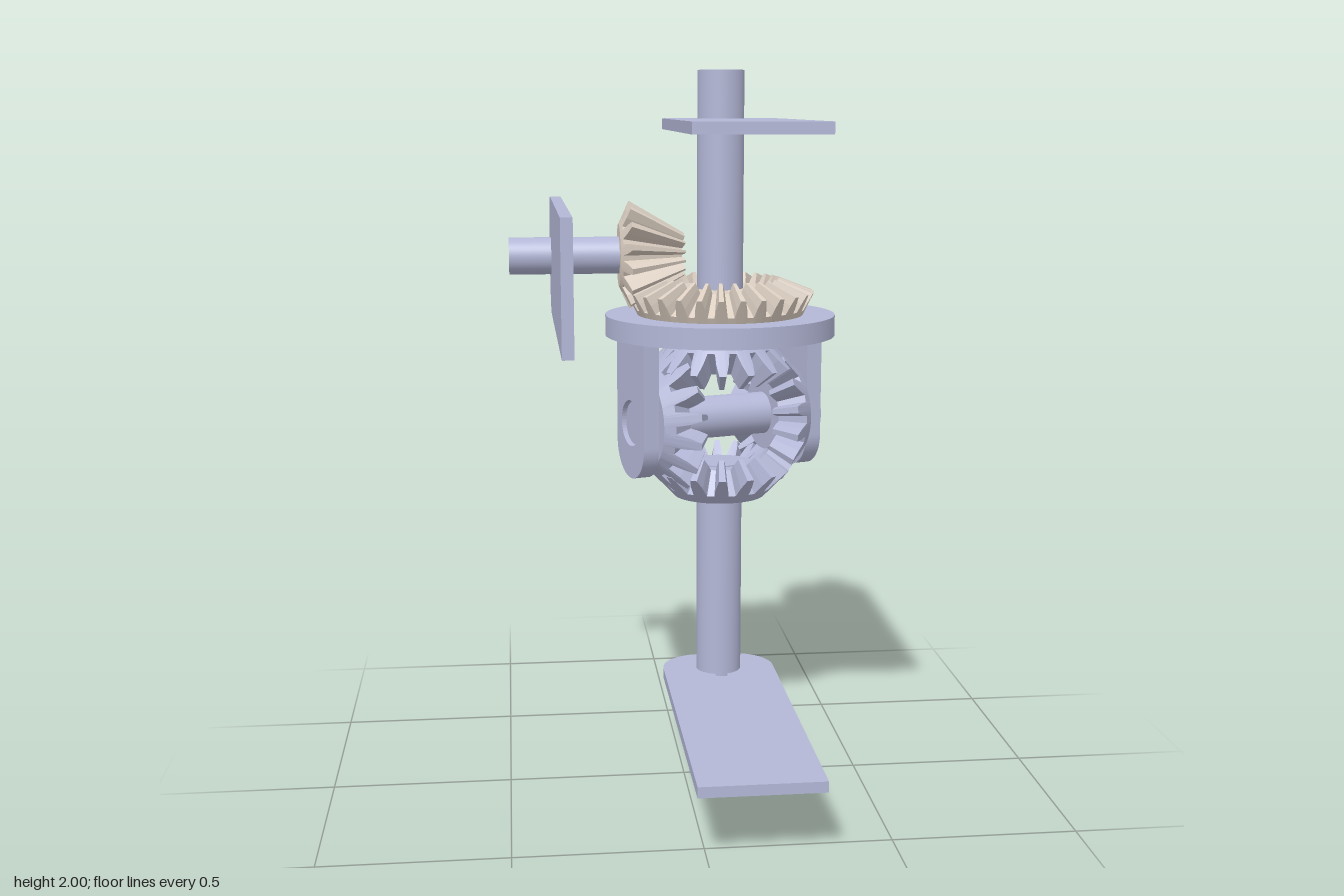
import * as THREE from 'three';

const steel = new THREE.MeshStandardMaterial({ color: 0xb3b7d6 });
const steelFlat = new THREE.MeshStandardMaterial({ color: 0xb3b7d6, flatShading: true });
const beige = new THREE.MeshStandardMaterial({ color: 0xdccfc2, flatShading: true });

const AX = 0.135, AZ = -0.28; // main axis
const CENTRE = 1.0;           // height of the differential centre
const APEX = 1.478;           // height of the input shaft

function add(parent, name, geometry, material, x = 0, y = 0, z = 0) {
  const mesh = new THREE.Mesh(geometry, material);
  mesh.name = name;
  mesh.position.set(x, y, z);
  parent.add(mesh);
  return mesh;
}

// Upright cylinder spanning a..b along y
function rod(r, a, b, segments = 48) {
  return new THREE.CylinderGeometry(r, r, b - a, segments).translate(0, (a + b) / 2, 0);
}

// Bevel gear about y with its cone apex at the origin, lying below it.
// hub, root and tip are [radius, y] on the back cone; inner scales the small end.
function bevelGear(teeth, hub, root, tip, inner) {
  const mix = t => [root[0] + (tip[0] - root[0]) * t, root[1] + (tip[1] - root[1]) * t];
  const profile = [[-0.33, 0], [-0.24, 0.5], [-0.12, 1], [0.12, 1], [0.24, 0.5], [0.33, 0]];
  const outline = [];
  for (let i = 0; i < teeth; i++) {
    for (const [a, t] of profile) {
      const [r, y] = mix(t), phi = (i + a) / teeth * Math.PI * 2;
      outline.push({ r, y, phi });
    }
  }
  const flatRing = (r, y) => outline.map(p => ({ r, y, phi: p.phi }));
  const rings = [
    flatRing(0, hub[1]), flatRing(...hub), outline,
    outline.map(p => ({ r: p.r * inner, y: p.y * inner, phi: p.phi })),
    flatRing(root[0] * inner, root[1] * inner), flatRing(0, root[1] * inner),
  ];
  const n = outline.length, positions = [], index = [];
  for (const ring of rings) {
    for (const p of ring) positions.push(p.r * Math.cos(p.phi), p.y, p.r * Math.sin(p.phi));
  }
  for (let j = 0; j < rings.length - 1; j++) {
    for (let i = 0; i < n; i++) {
      const k = (i + 1) % n, a = j * n + i, b = a + n, c = (j + 1) * n + k, d = j * n + k;
      if (j < rings.length - 2) index.push(a, b, c);
      else index.push(a, b, d);
      if (j > 0 && j < rings.length - 2) index.push(a, c, d);
    }
  }
  const g = new THREE.BufferGeometry();
  g.setAttribute('position', new THREE.Float32BufferAttribute(positions, 3));
  g.setIndex(index);
  const flat = g.toNonIndexed();
  flat.computeVertexNormals();
  return flat;
}

// Flat lever with one rounded end and a keyed hole, lying in xz
function leverPlate(holeR) {
  const w = 0.168, back = -0.12, front = 0.89, c = 0.12, k = 0.0175;
  const s = new THREE.Shape();
  s.moveTo(-w, front);
  s.lineTo(-w, back + c);
  s.absarc(-w + c, back + c, c, Math.PI, Math.PI * 1.5, false);
  s.absarc(w - c, back + c, c, -Math.PI / 2, 0, false);
  s.lineTo(w, front);
  s.closePath();
  const hole = new THREE.Path();
  const a = Math.asin(k / holeR);
  hole.moveTo(-k, holeR + 0.018);
  hole.lineTo(k, holeR + 0.018);
  hole.absarc(0, 0, holeR, Math.PI / 2 - a, Math.PI / 2 + a, true);
  hole.closePath();
  s.holes.push(hole);
  return new THREE.ExtrudeGeometry(s, { depth: 0.03, bevelEnabled: false, curveSegments: 24 })
    .rotateX(Math.PI / 2).translate(0, 0.015, 0);
}

// Hanging arm with a round lower end and a bore, thickness along x
function carrierArm() {
  const w = 0.102, top = 0.25, low = -0.06;
  const s = new THREE.Shape();
  s.moveTo(w, top);
  s.lineTo(-w, top);
  s.lineTo(-w, low);
  s.absarc(0, low, w, Math.PI, Math.PI * 2, false);
  s.closePath();
  const hole = new THREE.Path();
  hole.absarc(0, 0, 0.067, 0, Math.PI * 2, true);
  s.holes.push(hole);
  return new THREE.ExtrudeGeometry(s, { depth: 0.047, bevelEnabled: false, curveSegments: 24 })
    .rotateY(Math.PI / 2);
}

export function createModel() {
  const model = new THREE.Group();
  model.name = 'bevelDifferential';

  // Vertical shafts
  add(model, 'lowerShaft', rod(0.067, 0, 0.862), steel, AX, 0, AZ);
  add(model, 'upperShaft', rod(0.067, 1.138, 2), steel, AX, 0, AZ);

  // Levers on the vertical shafts
  add(model, 'upperLever', leverPlate(0.067), steel, AX, 1.85, AZ).rotation.y = -0.014;
  add(model, 'lowerLever', leverPlate(0.067), steel, AX, 0.205, AZ).rotation.y = 0.003;

  // Input shaft, its lever and pinion
  const shaft = add(model, 'inputShaft', rod(0.053, -0.61, -0.2), steel, AX, APEX, AZ);
  shaft.rotation.z = -Math.PI / 2;
  add(model, 'inputLever', leverPlate(0.053), steel, -0.34, APEX, AZ).rotation.z = Math.PI / 2;
  const pinion = add(model, 'inputPinion',
    bevelGear(14, [0.09, -0.295], [0.105, -0.288], [0.155, -0.265], 0.4), beige, AX, APEX, AZ);
  pinion.rotation.z = -Math.PI / 2;

  // Ring gear driven by the pinion
  const ring = add(model, 'ringGear',
    bevelGear(28, [0.241, -0.175], [0.25, -0.156], [0.275, -0.107], 0.63), beige, AX, APEX, AZ);
  ring.rotation.y = Math.PI / 28;

  // Carrier turns about the main axis with its arms and cross shaft
  const carrier = new THREE.Group();
  carrier.name = 'carrier';
  carrier.position.set(AX, CENTRE, AZ);
  carrier.rotation.y = 0.31;
  model.add(carrier);
  add(carrier, 'carrierDisc', rod(0.335, 0.245, 0.305, 96), steel);
  const arm = carrierArm();
  add(carrier, 'leftArm', arm, steel, 0.237);
  add(carrier, 'rightArm', arm, steel, -0.284);
  add(carrier, 'crossShaft', rod(0.062, -0.272, 0.284).rotateZ(-Math.PI / 2), steel);
  add(carrier, 'crossShaftHead', rod(0.098, 0.24, 0.288).rotateZ(-Math.PI / 2), steel);

  // Four equal bevel gears meshing around the centre
  const miter = bevelGear(16, [0.135, -0.235], [0.16, -0.208], [0.215, -0.152], 0.68);
  const half = Math.PI / 16;
  const gears = [
    ['lowerSideGear', 0, 0, 0], ['upperSideGear', Math.PI, 0, 0],
    ['rightPlanetGear', 0, -Math.PI / 2, half], ['leftPlanetGear', 0, Math.PI / 2, half],
  ];
  for (const [name, rx, rz, spin] of gears) {
    const gear = add(carrier, name, miter, steelFlat);
    gear.rotation.set(rx, spin, rz, 'ZXY');
  }
  return model;
}
